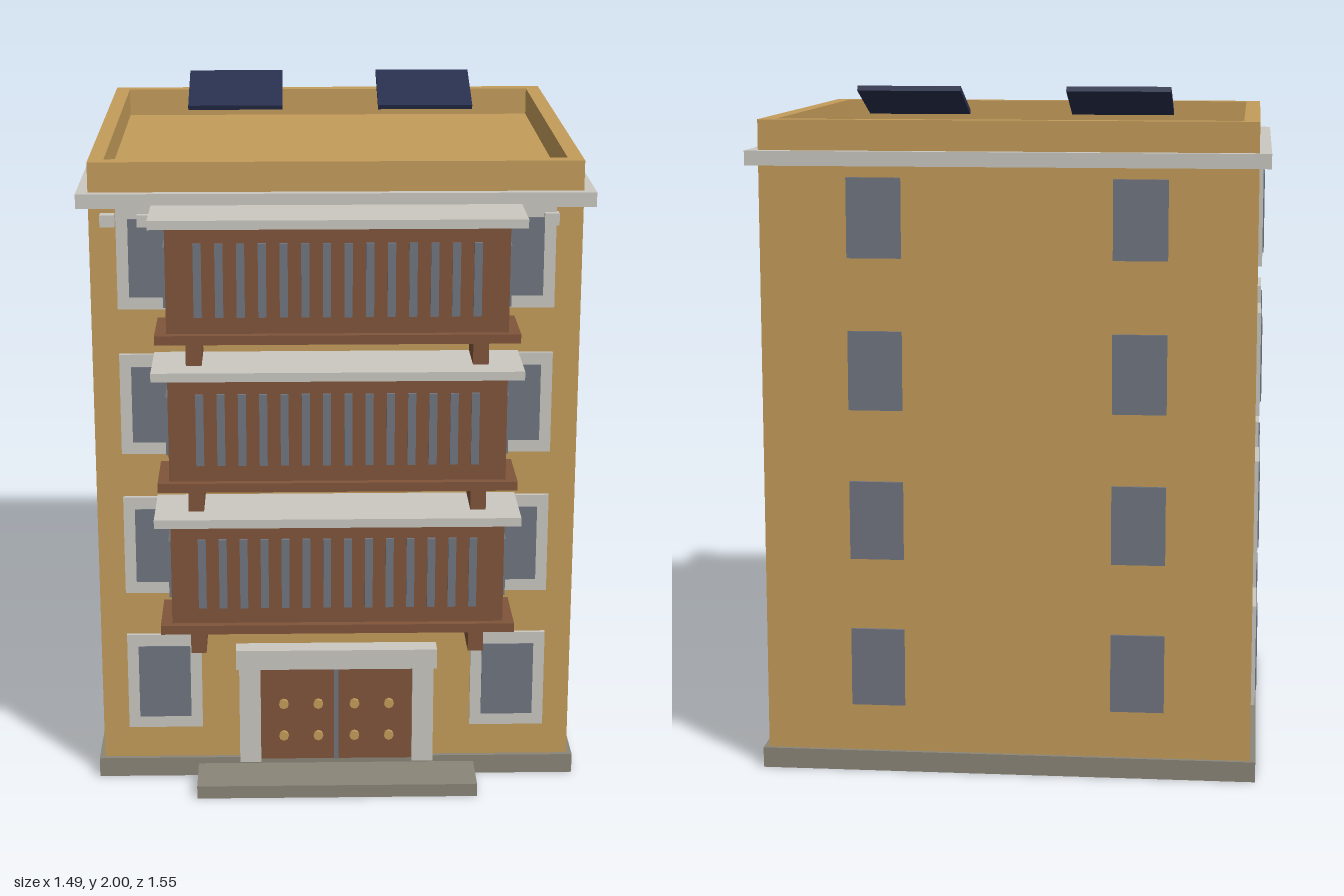
import * as THREE from 'three';

const mat = (name, color) => Object.assign(new THREE.MeshStandardMaterial({ color }), { name });

export function createModel() {
  const ochre = mat('ochre plaster', 0xc49c5a);
  const stone = mat('pale stone', 0xcac8c1);
  const glass = mat('grey glass', 0x707580);
  const wood = mat('brown wood', 0x80543a);
  const plinthGrey = mat('plinth grey', 0x8a8578);
  const navy = mat('solar navy', 0x29304f);

  const model = new THREE.Group();
  model.name = 'apartmentBuilding';

  // Box given by its minimum and maximum on each axis
  const box = (parent, name, material, [x0, x1], [y0, y1], [z0, z1]) => {
    const mesh = new THREE.Mesh(new THREE.BoxGeometry(x1 - x0, y1 - y0, z1 - z0), material);
    mesh.position.set((x0 + x1) / 2, (y0 + y1) / 2, (z0 + z1) / 2);
    mesh.name = name;
    parent.add(mesh);
    return mesh;
  };
  const group = (name, parent = model) => {
    const g = new THREE.Group();
    g.name = name;
    parent.add(g);
    return g;
  };
  const around = (c, w) => [c - w / 2, c + w / 2];

  const FRONT = 0.548, BACK = -0.745, SIDE = 0.71, ROOF = 1.826, FLOOR = 0.44;

  // Plinth, entrance step and main block
  box(model, 'plinth', plinthGrey, [-0.726, 0.726], [0, 0.06], [-0.757, 0.562]);
  box(model, 'entranceStep', plinthGrey, [-0.422, 0.422], [0, 0.04], [0.562, 0.72]);
  box(model, 'walls', ochre, [-SIDE, SIDE], [0.06, ROOF], [BACK, FRONT]);

  // Cornice: a ring running round the block just below the roof
  const ring = (name, material, [x0, x1], [z0, z1], t, [y0, y1]) => {
    const rect = (P, d) => {
      const p = new P();
      p.moveTo(x0 + d, -z1 + d);
      p.lineTo(x1 - d, -z1 + d);
      p.lineTo(x1 - d, -z0 - d);
      p.lineTo(x0 + d, -z0 - d);
      p.closePath();
      return p;
    };
    const shape = rect(THREE.Shape, 0);
    shape.holes.push(rect(THREE.Path, t));
    const geo = new THREE.ExtrudeGeometry(shape, { depth: y1 - y0, bevelEnabled: false });
    geo.rotateX(-Math.PI / 2);
    const mesh = new THREE.Mesh(geo, material);
    mesh.position.y = y0;
    mesh.name = name;
    model.add(mesh);
  };
  ring('cornice', stone, [-0.744, 0.744], [-0.775, 0.575], 0.045, [1.783, 1.825]);
  ring('parapet', ochre, [-SIDE, SIDE], [BACK, FRONT], 0.045, [ROOF, 1.912]);

  // Small blocks under the front cornice
  const dentils = group('corniceBlocks');
  for (let i = 0; i < 13; i++) {
    box(dentils, 'corniceBlock', stone, around(-0.655 + i * 0.106, 0.042), [1.73, 1.765], [FRONT, 0.582]);
  }

  // Windows: each is built facing +z, then turned to its wall
  const addWindow = (x, y, z, turn, framed) => {
    const w = group('window');
    if (framed) box(w, 'windowFrame', stone, around(0, 0.224), around(0, 0.304), [0, 0.012]);
    const z0 = framed ? 0.012 : 0;
    box(w, 'windowPane', glass, around(0, 0.156), around(0, 0.23), [z0, z0 + (framed ? 0.004 : 0.009)]);
    w.position.set(x, y, z);
    w.rotation.y = turn;
  };
  for (let f = 0; f < 4; f++) {
    const y = 0.315 + f * FLOOR;
    for (const s of [-1, 1]) {
      addWindow(s * 0.52, y, FRONT, 0, true);
      addWindow(s * 0.38, y, BACK, Math.PI, false);
      for (const z of [0.228, -0.418]) addWindow(s * SIDE, y, z, s * Math.PI / 2, true);
    }
  }

  // Enclosed wooden balconies on the three upper floors
  for (let f = 0; f < 3; f++) {
    const b = group('balcony');
    b.position.y = f * FLOOR;
    box(b, 'balconyFloor', wood, [-0.518, 0.518], [0.549, 0.576], [FRONT, 0.755]);
    box(b, 'balconyBody', wood, [-0.485, 0.485], [0.576, 0.886], [FRONT, 0.733]);
    box(b, 'balconyRoof', stone, [-0.53, 0.53], [0.886, 0.912], [FRONT, 0.775]);
    for (let i = 0; i < 14; i++) {
      box(b, 'balconySlit', glass, around((i - 6.5) * 0.0607, 0.023), [0.625, 0.838], [0.733, 0.742]);
    }
    for (const s of [-1, 1]) {
      box(b, 'balconySidePane', glass, around(s * 0.4895, 0.009), [0.642, 0.818], [0.588, 0.695]);
      box(b, 'balconyBracket', wood, around(s * 0.41, 0.045), [0.467, 0.541], [FRONT, 0.7]);
    }
  }

  // Entrance: stone surround, double door, centre gap and studs
  const door = group('entrance');
  box(door, 'doorLintel', stone, [-0.303, 0.303], [0.37, 0.432], [FRONT, 0.608]);
  box(door, 'doorLeaves', wood, [-0.23, 0.23], [0.06, 0.37], [FRONT, 0.574]);
  box(door, 'doorGap', glass, [-0.007, 0.007], [0.06, 0.37], [0.574, 0.579]);
  const studGeo = new THREE.CylinderGeometry(0.015, 0.015, 0.012, 8).rotateX(Math.PI / 2);
  for (const s of [-1, 1]) {
    box(door, 'doorPost', stone, around(s * 0.262, 0.064), [0.06, 0.37], [FRONT, 0.598]);
    for (const x of [0.055, 0.16]) for (const y of [0.14, 0.245]) {
      const stud = new THREE.Mesh(studGeo, ochre);
      stud.position.set(s * x, y, 0.58);
      stud.name = 'doorStud';
      door.add(stud);
    }
  }

  // Tilted solar panels above the roof
  for (const s of [-1, 1]) {
    const panel = box(model, 'solarPanel', navy, around(s * 0.304, 0.302), around(1.954, 0.015), around(-0.438, 0.24));
    panel.rotation.x = 0.33;
  }

  return model;
}
